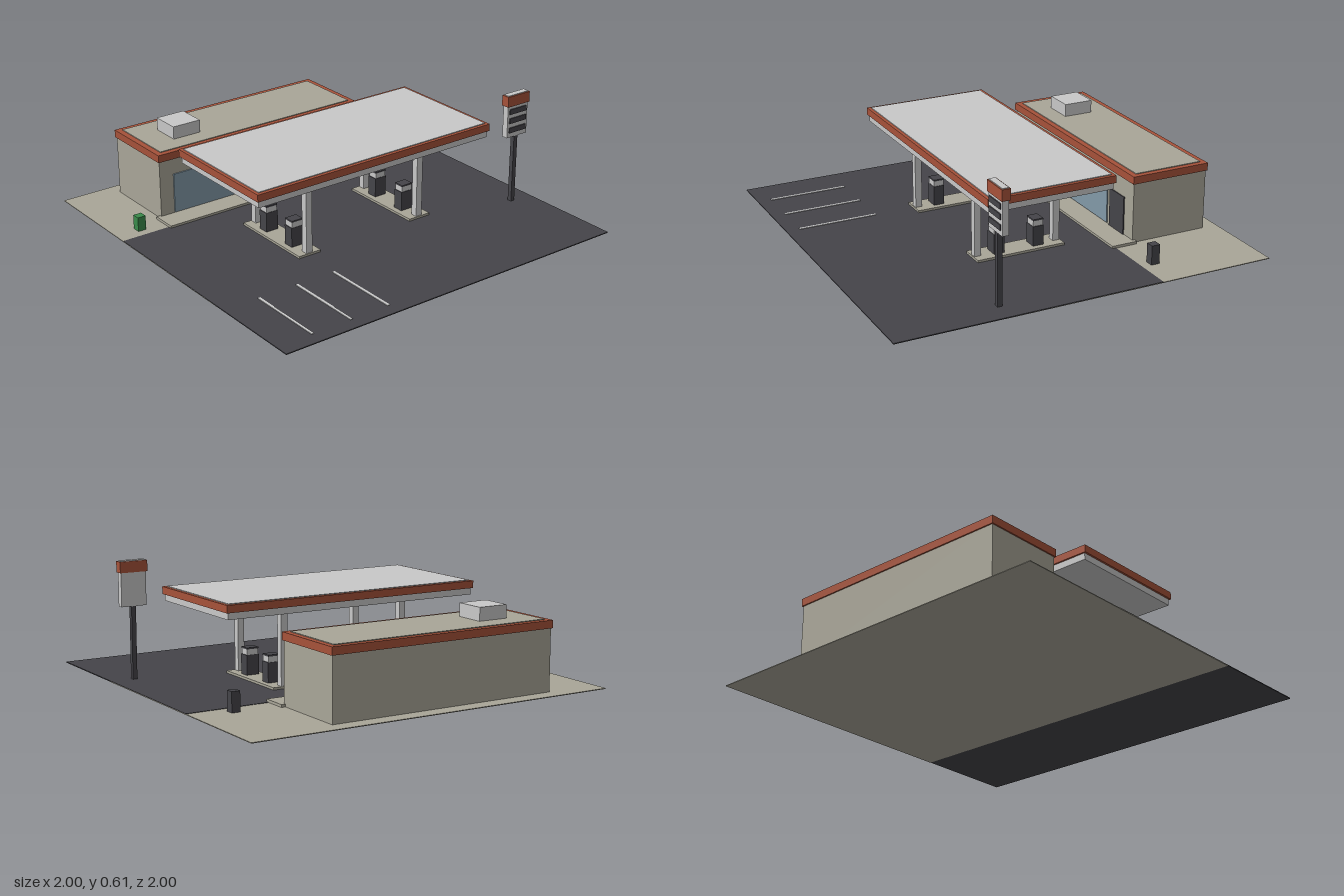
import * as THREE from 'three';

const mat = (name, color) => {
  const m = new THREE.MeshStandardMaterial({ color });
  m.name = name;
  return m;
};

export function createModel() {
  const root = new THREE.Group();
  root.name = 'fuelStation';

  const concrete = mat('concrete', 0xa9a698);
  const asphalt = mat('asphalt', 0x454449);
  const red = mat('redTrim', 0xa6523a);
  const light = mat('lightGrey', 0xc8c8c8);
  const glass = mat('glass', 0x8299a8);
  const green = mat('green', 0x3a8a4a);

  // Box given by its extents along x, y and z
  const box = (parent, name, material, [x0, x1], [y0, y1], [z0, z1]) => {
    const mesh = new THREE.Mesh(new THREE.BoxGeometry(x1 - x0, y1 - y0, z1 - z0), material);
    mesh.position.set((x0 + x1) / 2, (y0 + y1) / 2, (z0 + z1) / 2);
    mesh.name = name;
    parent.add(mesh);
    return mesh;
  };
  const group = (name, x = 0, z = 0) => {
    const g = new THREE.Group();
    g.name = name;
    g.position.set(x, 0, z);
    root.add(g);
    return g;
  };

  // Ground: concrete pad with the asphalt forecourt laid over its front
  const ground = group('ground');
  box(ground, 'concretePad', concrete, [-1, 1], [0, 0.004], [-1, 0.45]);
  box(ground, 'forecourt', asphalt, [-1, 1], [0.001, 0.006], [-0.39, 1]);
  for (const x of [-0.803, -0.585, -0.368]) {
    box(ground, 'parkingLine', light, [x - 0.007, x + 0.007], [0.005, 0.009], [0.51, 0.93]);
  }

  // Shop with fascia, roof, window, door and roof unit
  const shop = group('shop');
  box(shop, 'walkway', concrete, [-0.732, 0.562], [0.002, 0.018], [-0.51, -0.37]);
  box(shop, 'walls', concrete, [-0.71, 0.54], [0.002, 0.33], [-0.918, -0.497]);
  box(shop, 'fascia', red, [-0.717, 0.547], [0.32, 0.36], [-0.925, -0.49]);
  box(shop, 'roof', concrete, [-0.686, 0.518], [0.34, 0.364], [-0.896, -0.52]);
  box(shop, 'window', glass, [-0.63, 0.295], [0.022, 0.235], [-0.499, -0.491]);
  box(shop, 'door', asphalt, [0.32, 0.457], [0.018, 0.22], [-0.499, -0.491]);
  box(shop, 'roofUnit', light, [-0.542, -0.38], [0.36, 0.432], [-0.783, -0.622]);

  // Canopy over the pumps
  const canopy = group('canopy');
  box(canopy, 'canopySoffit', light, [-0.712, 0.712], [0.396, 0.432], [-0.273, 0.39]);
  box(canopy, 'canopyFascia', red, [-0.722, 0.722], [0.43, 0.468], [-0.282, 0.398]);
  box(canopy, 'canopyRoof', light, [-0.705, 0.705], [0.45, 0.472], [-0.265, 0.38]);

  // Two islands, each with two columns and two pumps
  for (const x of [-0.352, 0.348]) {
    const island = group('pumpIsland', x, 0.06);
    box(island, 'islandBase', concrete, [-0.065, 0.065], [0.003, 0.018], [-0.24, 0.24]);
    for (const z of [-0.217, 0.217]) {
      box(island, 'column', light, [-0.018, 0.018], [0.016, 0.4], [z - 0.018, z + 0.018]);
    }
    for (const z of [-0.108, 0.108]) {
      box(island, 'pumpBody', asphalt, [-0.035, 0.035], [0.016, 0.122], [z - 0.029, z + 0.029]);
      box(island, 'pumpHead', light, [-0.031, 0.031], [0.12, 0.152], [z - 0.027, z + 0.027]);
      box(island, 'pumpCap', asphalt, [-0.033, 0.033], [0.151, 0.159], [z - 0.028, z + 0.028]);
    }
  }

  // Price sign on a pole
  const sign = group('priceSign', 0.876, 0.422);
  box(sign, 'signPole', asphalt, [-0.012, 0.012], [0.002, 0.385], [-0.012, 0.012]);
  box(sign, 'signBoard', light, [-0.068, 0.068], [0.38, 0.612], [-0.017, 0.017]);
  box(sign, 'signHeader', red, [-0.074, 0.074], [0.552, 0.608], [-0.023, 0.023]);
  for (const y of [0.42, 0.472, 0.522]) {
    box(sign, 'pricePanel', asphalt, [-0.056, 0.056], [y - 0.014, y + 0.014], [0.015, 0.023]);
  }

  // Bins beside the shop
  box(root, 'greenBin', green, [-0.882, -0.837], [0.002, 0.08], [-0.485, -0.44]);
  box(root, 'darkBin', asphalt, [0.767, 0.812], [0.002, 0.105], [-0.485, -0.44]);

  return root;
}
